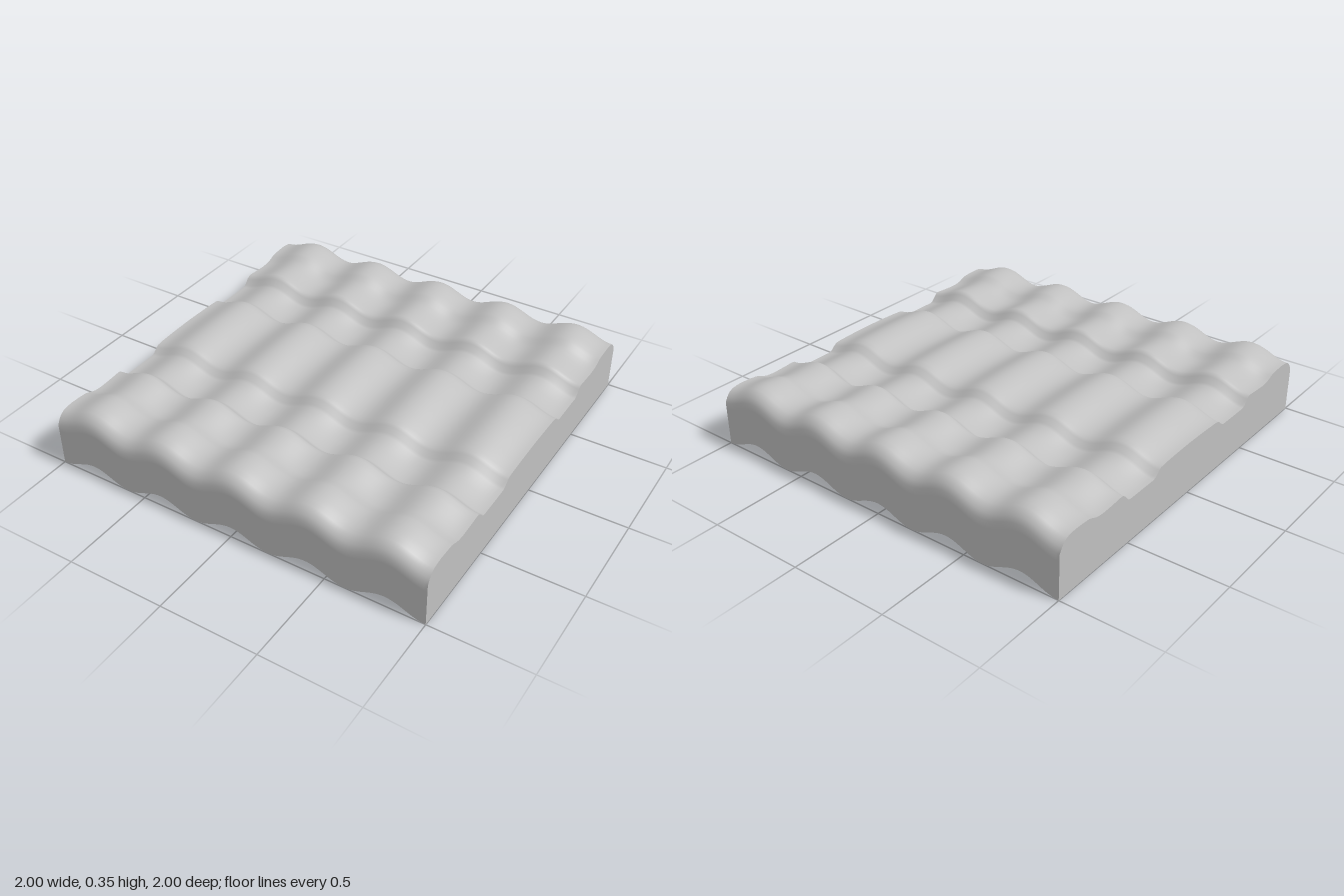
import * as THREE from 'three';
import { toCreasedNormals } from 'three/addons/utils/BufferGeometryUtils.js';

export function createModel() {
  const group = new THREE.Group();
  group.name = 'wavySlab';
  const stone = new THREE.MeshStandardMaterial({ color: 0xc0c0c0 });
  stone.name = 'light grey';

  // half of the symmetric cross-section: distance from the middle, height
  const half = [
    [1, 0], [1, 0.19], [1, 0.228], [0.985, 0.255], [0.97, 0.272], [0.95, 0.284], [0.92, 0.29],
    [0.89, 0.292], [0.84, 0.29], [0.8, 0.287], [0.78, 0.281], [0.755, 0.27], [0.73, 0.264],
    [0.69, 0.261], [0.65, 0.263], [0.6, 0.266], [0.565, 0.269], [0.55, 0.267], [0.535, 0.256],
    [0.51, 0.229], [0.495, 0.222], [0.4, 0.222], [0.305, 0.222], [0.29, 0.229], [0.265, 0.251],
    [0.25, 0.259], [0.22, 0.263], [0.15, 0.266], [0.07, 0.268], [0, 0.269],
  ];
  const mirrored = half.slice(0, -1).reverse().map(([z, y]) => [-z, y]);
  const shape = new THREE.Shape([...half, ...mirrored].map(([z, y]) => new THREE.Vector2(z, y)));

  // sweep along x, then ripple top and bottom together in five waves
  const geometry = new THREE.ExtrudeGeometry(shape, { depth: 2, steps: 120, bevelEnabled: false });
  geometry.translate(0, 0, -1).rotateY(Math.PI / 2);
  const pos = geometry.attributes.position;
  for (let i = 0; i < pos.count; i++) {
    const wave = 0.0275 * (1 + Math.cos(pos.getX(i) * Math.PI * 5));
    pos.setY(i, pos.getY(i) + wave);
  }
  geometry.clearGroups();

  const slab = new THREE.Mesh(toCreasedNormals(geometry, 0.95), stone);
  slab.name = 'slab';
  group.add(slab);
  return group;
}
